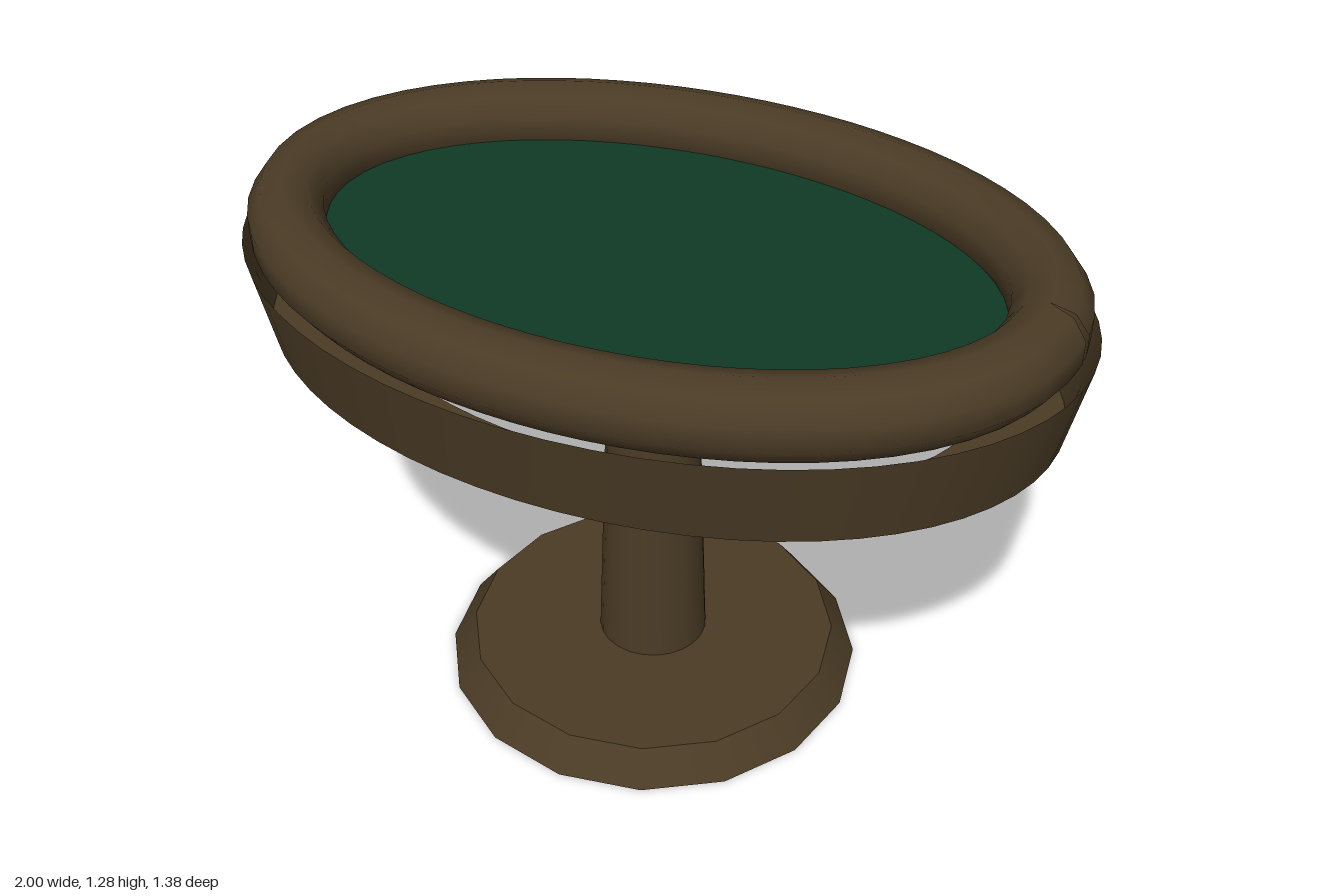
import * as THREE from 'three';

const TAU = Math.PI * 2;

// Surface between two horizontal ellipses, each given as [x radius, z radius, y]
function ellipseBand(from, to, sides = 64) {
  const positions = [];
  const index = [];
  for (let i = 0; i < sides; i++) {
    const t = (i / sides) * TAU;
    for (const [rx, rz, y] of [from, to]) positions.push(rx * Math.cos(t), y, rz * Math.sin(t));
    const a = i * 2;
    const b = ((i + 1) % sides) * 2;
    index.push(a, a + 1, b, a + 1, b + 1, b);
  }
  const geometry = new THREE.BufferGeometry();
  geometry.setAttribute('position', new THREE.Float32BufferAttribute(positions, 3));
  geometry.setIndex(index);
  geometry.computeVertexNormals();
  return geometry;
}

export function createModel() {
  const wood = new THREE.MeshStandardMaterial({ color: 0x4a3b25, side: THREE.DoubleSide });
  wood.name = 'dark wood';
  const green = new THREE.MeshStandardMaterial({ color: 0x0f3a25, side: THREE.DoubleSide });
  green.name = 'green felt';

  const table = new THREE.Group();
  table.name = 'ovalTable';
  const add = (name, geometry, material, y = 0) => {
    const mesh = new THREE.Mesh(geometry, material);
    mesh.name = name;
    mesh.position.y = y;
    table.add(mesh);
    return mesh;
  };

  // Foot and tapered column
  add('base', new THREE.CylinderGeometry(0.46, 0.52, 0.078, 16), wood, 0.039);
  add('column', new THREE.CylinderGeometry(0.106, 0.136, 0.85, 24), wood, 0.5);

  // Hollow flared apron with a flat underside ring
  add('apronSkirt', ellipseBand([0.955, 0.645, 0.927], [1.0, 0.69, 1.14]), wood);
  add('apronUnderside', ellipseBand([0.755, 0.445, 0.927], [0.955, 0.645, 0.927]), wood);

  // Playing surface
  const felt = add('feltTop', new THREE.CircleGeometry(1, 64).rotateX(-Math.PI / 2), green, 1.16);
  felt.scale.set(0.815, 1, 0.51);

  // Padded rail, an open loop whose ends meet in a small seam at +x
  const points = [];
  for (let i = 0; i <= 32; i++) {
    const t = (i / 32) * TAU;
    points.push(new THREE.Vector3(0.89 * Math.cos(t), 0, 0.585 * Math.sin(t)));
  }
  const railPath = new THREE.CatmullRomCurve3(points);
  add('rail', new THREE.TubeGeometry(railPath, 64, 0.09, 10, false), wood, 1.19);

  return table;
}
